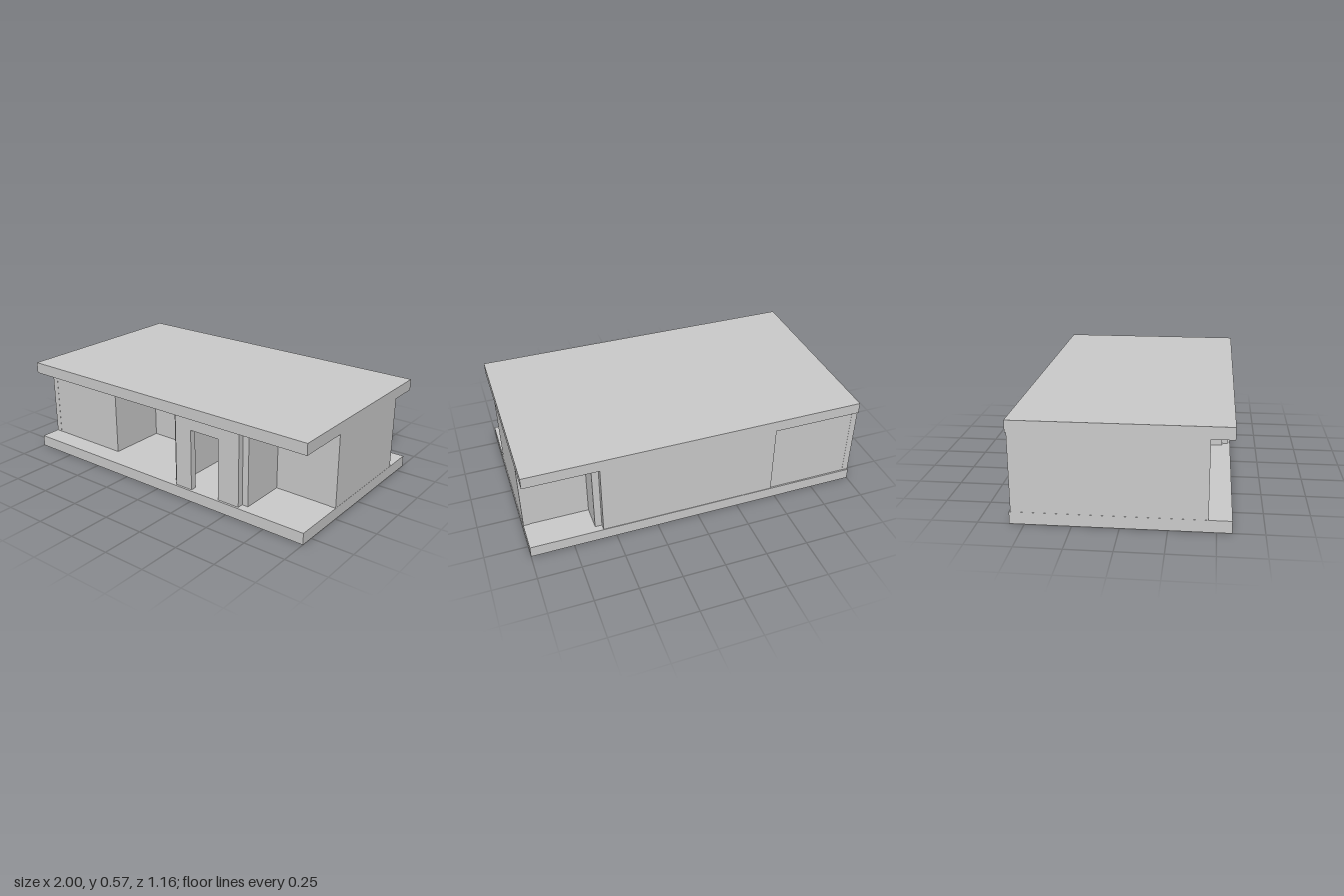
import * as THREE from 'three';

const FLOOR = 0.068, CEIL = 0.505, TOP = 0.572, T = 0.038;

export function createModel() {
  const group = new THREE.Group();
  const material = new THREE.MeshStandardMaterial({ color: 0xcccccc, flatShading: true });

  // Box given by its extents in x, y and z
  const block = (name, x0, x1, y0, y1, z0, z1) => {
    const mesh = new THREE.Mesh(new THREE.BoxGeometry(x1 - x0, y1 - y0, z1 - z0), material);
    mesh.position.set((x0 + x1) / 2, (y0 + y1) / 2, (z0 + z1) / 2);
    mesh.name = name;
    group.add(mesh);
  };
  const wall = (name, x0, x1, z0, z1) => block(name, x0, x1, FLOOR, CEIL, z0, z1);

  // Slabs
  block('floorSlab', -1, 1, 0, FLOOR, -0.58, 0.58);
  block('roofSlab', -1, 1, CEIL, TOP, -0.58, 0.58);

  // Room on the -x side, running the full depth
  wall('rightOuterWall', -0.999, -1 + T, -0.572, 0.458);
  wall('rightRoomFrontWall', -1 + T, -0.44, 0.458 - T, 0.457);
  wall('rightRoomInnerWall', -0.44 - T, -0.44, -0.54, 0.458 - T);
  wall('rightRoomBackWall', -1 + T, -0.47, -0.571, -0.571 + T);

  // Recessed porch and middle room
  wall('porchBackWall', -0.44, 0.102, 0.1 - T, 0.1);
  wall('porchSideWall', 0.102, 0.14, -0.54, 0.53);
  wall('middleBackWall', -0.47, 0.575, -0.577, -0.54);

  // Front wall with a doorway open to the floor
  const outline = [
    [0.138, FLOOR], [0.248, FLOOR], [0.248, 0.435], [0.44, 0.435],
    [0.44, FLOOR], [0.577, FLOOR], [0.577, CEIL], [0.138, CEIL],
  ].map(([x, y]) => new THREE.Vector2(x, y));
  const doorWall = new THREE.Mesh(
    new THREE.ExtrudeGeometry(new THREE.Shape(outline), { depth: T, bevelEnabled: false }), material);
  doorWall.position.z = 0.529;
  doorWall.name = 'doorWall';
  group.add(doorWall);

  // Room on the +x side, set in from the front and back edges
  wall('leftRoomInnerWall', 0.575, 0.615, -0.54, 0.53);
  wall('leftOuterWall', 1 - T, 0.999, -0.396, 0.252);
  wall('leftRoomFrontWall', 0.615, 1 - T, 0.25 - T, 0.25);
  wall('leftRoomBackWall', 0.615, 1 - T, -0.393, -0.393 + T);

  return group;
}
